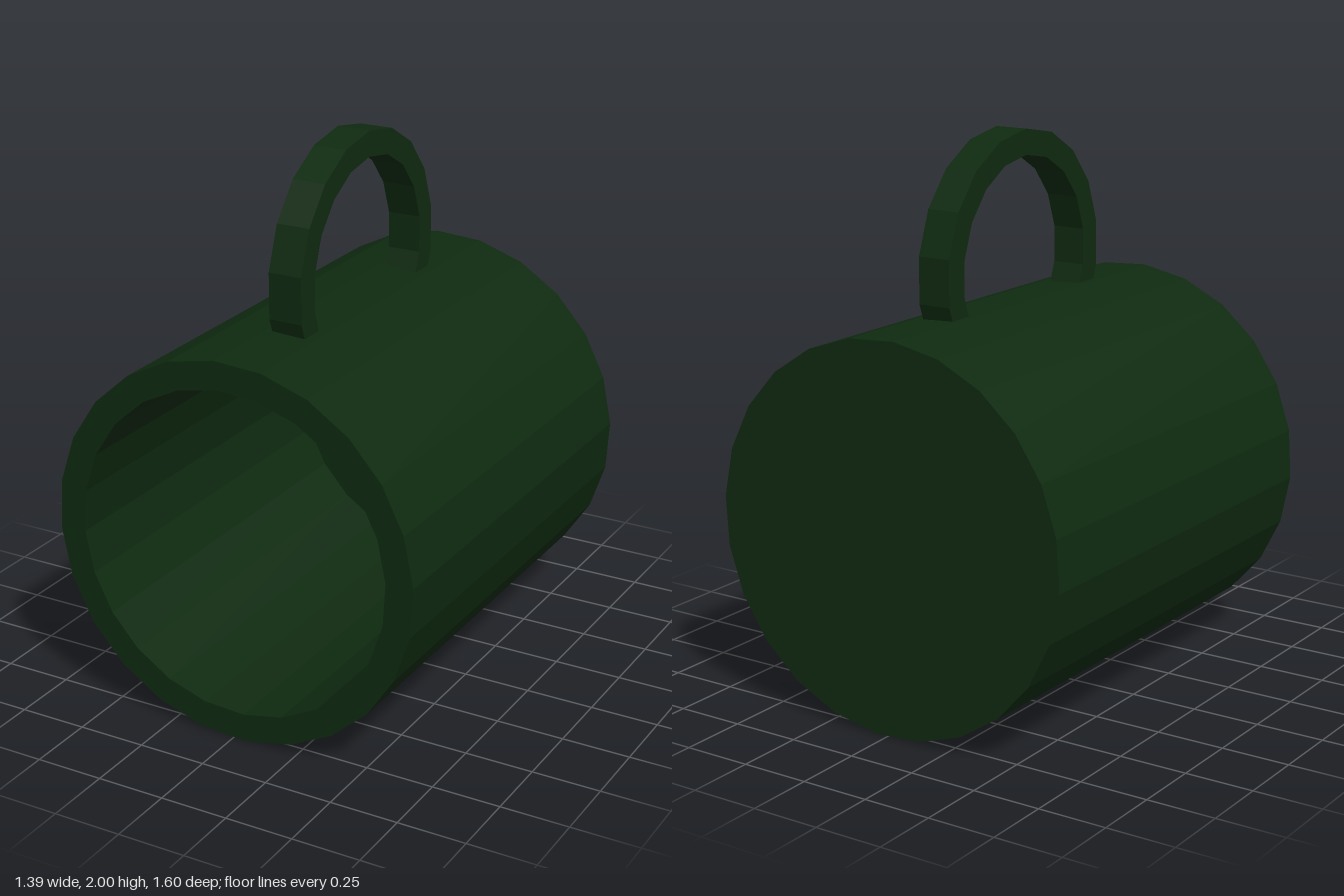
import * as THREE from 'three';

const material = new THREE.MeshStandardMaterial({ color: 0x0f2a10, flatShading: true });
const rad = THREE.MathUtils.degToRad;

// Cup lying on its side: open mouth at +z, closed base at -z
function createCup() {
  const outer = 0.697, inner = 0.595, half = 0.8, floor = -0.7;
  const profile = [
    [0, -half], [outer, -half], [outer, half],
    [inner, half], [inner, floor], [0, floor],
  ].map(([r, y]) => new THREE.Vector2(r, y));
  const geometry = new THREE.LatheGeometry(profile, 24, rad(4));
  geometry.rotateX(Math.PI / 2);
  const cup = new THREE.Mesh(geometry, material);
  cup.name = 'cupBody';
  cup.position.y = 0.7;
  return cup;
}

// Flat-sided arched handle whose ends sink into the cup wall
function createHandle() {
  const outer = 0.475, inner = 0.383, width = 0.125;
  const arc = (r) => Array.from({ length: 13 }, (_, i) => {
    const a = rad(-30 + i * 20);
    return new THREE.Vector2(r * Math.cos(a), r * Math.sin(a));
  });
  const shape = new THREE.Shape([...arc(outer), ...arc(inner).reverse()]);
  const geometry = new THREE.ExtrudeGeometry(shape, { depth: width, bevelEnabled: false });
  geometry.rotateY(-Math.PI / 2);
  const handle = new THREE.Mesh(geometry, material);
  handle.name = 'handle';
  handle.position.set(0.098, 1.525, 0.013);
  return handle;
}

export function createModel() {
  const mug = new THREE.Group();
  mug.name = 'mug';
  mug.add(createCup(), createHandle());
  return mug;
}
